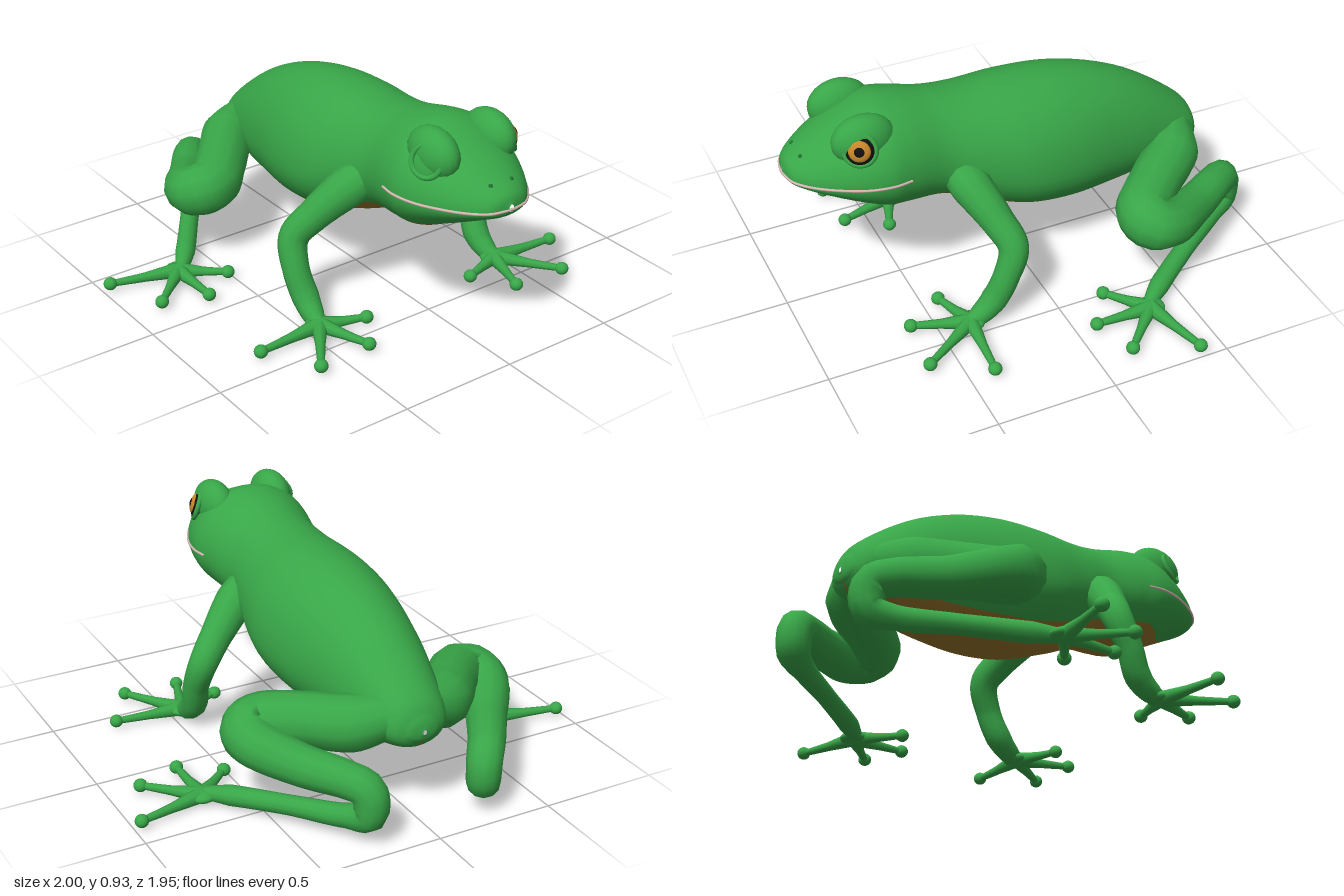
import * as THREE from 'three';
import { mergeVertices } from 'three/addons/utils/BufferGeometryUtils.js';
import { ParametricGeometry } from 'three/addons/geometries/ParametricGeometry.js';

const mat = (color) => new THREE.MeshStandardMaterial({ color });
const GREEN = mat(0x38a648), TAN = mat(0x98742a), ORANGE = mat(0xc8862a);
const BLACK = mat(0x101010), LIP = mat(0xd8b8b4), DARK = mat(0x23702f);
const V = (x, y, z) => new THREE.Vector3(x, y, z);

// Body stations from tail to snout: z, top, bottom, widest height, half width
const STATIONS = [
  [-0.87, 0.41, 0.39, 0.4, 0.008], [-0.855, 0.46, 0.355, 0.4, 0.07], [-0.8, 0.54, 0.31, 0.41, 0.135],
  [-0.6, 0.69, 0.26, 0.45, 0.195], [-0.4, 0.785, 0.24, 0.48, 0.24], [-0.2, 0.835, 0.245, 0.49, 0.28],
  [0, 0.85, 0.28, 0.51, 0.29], [0.2, 0.85, 0.355, 0.57, 0.255], [0.35, 0.87, 0.42, 0.62, 0.23],
  [0.5, 0.905, 0.44, 0.655, 0.255], [0.6, 0.91, 0.46, 0.66, 0.27], [0.7, 0.875, 0.51, 0.66, 0.252],
  [0.8, 0.825, 0.56, 0.662, 0.208], [0.89, 0.772, 0.605, 0.664, 0.15], [0.95, 0.73, 0.635, 0.666, 0.085],
  [0.97, 0.69, 0.66, 0.668, 0.012],
];
const heights = new THREE.CatmullRomCurve3(STATIONS.map((s) => V(s[0], s[1], s[2])), false, 'catmullrom', 0.5);
const widths = new THREE.CatmullRomCurve3(STATIONS.map((s) => V(s[0], s[3], s[4])), false, 'catmullrom', 0.5);

// Point on the body at angle a (0 = left side, PI/2 = back)
function bodyPoint(a, v, target) {
  const h = heights.getPoint(v), w = widths.getPoint(v);
  const s = Math.sin(a);
  const y = w.y + s * (s > 0 ? h.y - w.y : w.y - h.z);
  return target.set(w.z * Math.cos(a), y, h.x);
}

// Half angle of the belly patch, tapering under the tail and chin
function bellyAngle(v) {
  const z = heights.getPoint(v).x;
  const fade = THREE.MathUtils.smoothstep(z, -0.87, -0.65) * (1 - THREE.MathUtils.smoothstep(z, 0.55, 0.85));
  return 0.02 + 0.82 * fade;
}

// Smooth tapered limb: a tube whose rings are scaled by the listed radii, [x, y, z, radius]
function limb(points, side, segments = 40, sides = 12) {
  const curve = new THREE.CatmullRomCurve3(points.map((p) => V(side * p[0], p[1], p[2])), false, 'centripetal');
  let geo = new THREE.TubeGeometry(curve, segments, 1, sides);
  const pos = geo.attributes.position, p = V(0, 0, 0);
  for (let i = 0; i <= segments; i++) {
    const c = curve.getPointAt(i / segments);
    const t = curve.getUtoTmapping(i / segments) * (points.length - 1);
    const k = Math.min(Math.floor(t), points.length - 2);
    const r = THREE.MathUtils.lerp(points[k][3], points[k + 1][3], t - k);
    for (let j = 0; j <= sides; j++) {
      const n = i * (sides + 1) + j;
      p.fromBufferAttribute(pos, n).sub(c).multiplyScalar(r).add(c);
      pos.setXYZ(n, p.x, p.y, p.z);
    }
  }
  geo.deleteAttribute('uv');
  geo.deleteAttribute('normal');
  geo = mergeVertices(geo, 1e-5);
  geo.computeVertexNormals();
  return geo;
}

const FRONT_LEG = [
  [0.13, 0.61, 0.31, 0.08], [0.24, 0.54, 0.27, 0.085], [0.36, 0.43, 0.21, 0.068], [0.435, 0.34, 0.175, 0.062],
  [0.455, 0.22, 0.215, 0.055], [0.445, 0.11, 0.265, 0.056], [0.45, 0.055, 0.33, 0.045], [0.46, 0.038, 0.4, 0.022],
];
const FRONT_TOES = [[0.75, 0.4], [0.62, 0.62], [0.38, 0.605], [0.27, 0.44]];
const HIND_LEG = [
  [0.08, 0.43, -0.73, 0.09], [0.2, 0.4, -0.67, 0.115], [0.34, 0.375, -0.51, 0.11], [0.46, 0.345, -0.395, 0.112],
  [0.52, 0.33, -0.41, 0.112], [0.53, 0.31, -0.48, 0.1], [0.42, 0.27, -0.66, 0.085], [0.31, 0.26, -0.83, 0.075],
  [0.26, 0.235, -0.895, 0.072], [0.255, 0.13, -0.9, 0.068], [0.31, 0.1, -0.82, 0.048],
  [0.45, 0.08, -0.62, 0.04], [0.6, 0.055, -0.41, 0.042], [0.69, 0.038, -0.3, 0.022],
];
const HIND_TOES = [[0.97, -0.395], [0.87, -0.145], [0.685, -0.08], [0.525, -0.19]];

export function createModel() {
  const model = new THREE.Group();
  model.name = 'frog';
  const add = (name, geo, material, parent = model) => {
    const mesh = new THREE.Mesh(geo, material);
    mesh.name = name;
    parent.add(mesh);
    return mesh;
  };
  const ball = (name, material, at, scale, parent) => {
    const mesh = add(name, new THREE.SphereGeometry(1, 20, 14), material, parent);
    mesh.position.copy(at);
    mesh.scale.set(...scale);
    return mesh;
  };

  // Back and belly share one surface, split along the belly edge
  add('skin', new ParametricGeometry((u, v, target) => {
    const b = bellyAngle(v);
    bodyPoint(-Math.PI / 2 + b + u * (2 * Math.PI - 2 * b), v, target);
  }, 40, 75), GREEN);
  add('belly', new ParametricGeometry((u, v, target) => {
    bodyPoint(-Math.PI / 2 + bellyAngle(v) * (2 * u - 1), v, target);
  }, 16, 75), TAN);

  // Mouth line round the widest edge of the snout
  const lip = [];
  for (let i = -24; i <= 24; i++) {
    const v = 1 - Math.abs(i) / 24 * 0.385;
    lip.push(bodyPoint(i < 0 ? Math.PI : 0, v, V(0, 0, 0)));
  }
  add('mouthLine', new THREE.TubeGeometry(new THREE.CatmullRomCurve3(lip), 80, 0.006, 6), LIP);

  for (const side of [1, -1]) {
    const label = side > 0 ? 'left' : 'right';

    // Brow bump, eye rim and nostril
    ball(label + 'Brow', GREEN, V(side * 0.137, 0.825, 0.675), [0.078, 0.105, 0.13]);
    const eye = new THREE.Group();
    eye.name = label + 'Eye';
    eye.position.set(side * 0.2, 0.822, 0.712);
    eye.quaternion.setFromUnitVectors(V(0, 0, 1), V(side * 0.86, 0.3, 0.4).normalize());
    model.add(eye);
    add('eyelidRim', new THREE.TorusGeometry(0.062, 0.011, 8, 28), GREEN, eye);
    if (side > 0) {
      ball('eyeball', BLACK, V(0, 0, 0), [0.06, 0.06, 0.026], eye);
      ball('iris', ORANGE, V(0, 0, 0.011), [0.046, 0.046, 0.021], eye);
      ball('pupil', BLACK, V(0, 0, 0.022), [0.025, 0.025, 0.013], eye);
    } else {
      ball('emptySocket', GREEN, V(0, 0, -0.006), [0.06, 0.06, 0.012], eye);
    }
    ball(label + 'Nostril', DARK, V(side * 0.05, 0.755, 0.904), [0.009, 0.007, 0.009]);

    // Legs with a flat palm, four toes and round toe pads
    for (const [name, path, toes] of [['FrontLeg', FRONT_LEG, FRONT_TOES], ['HindLeg', HIND_LEG, HIND_TOES]]) {
      const leg = new THREE.Group();
      leg.name = label + name;
      model.add(leg);
      add('limb', limb(path, side, path.length * 6), GREEN, leg);
      const [px, , pz] = path[path.length - 1];
      const cx = px - 0.005, cz = pz - 0.025;
      ball('palm', GREEN, V(side * cx, 0.038, cz), [0.06, 0.026, 0.06], leg);
      for (const [x, z] of toes) {
        const mx = (x + cx) / 2, mz = (z + cz) / 2;
        add('toe', limb([[cx, 0.038, cz, 0.034], [mx, 0.036, mz, 0.02], [x, 0.038, z, 0.014]], side, 10, 8), GREEN, leg);
        ball('toePad', GREEN, V(side * x, 0.038, z), [0.028, 0.027, 0.028], leg);
      }
    }
  }
  return model;
}
